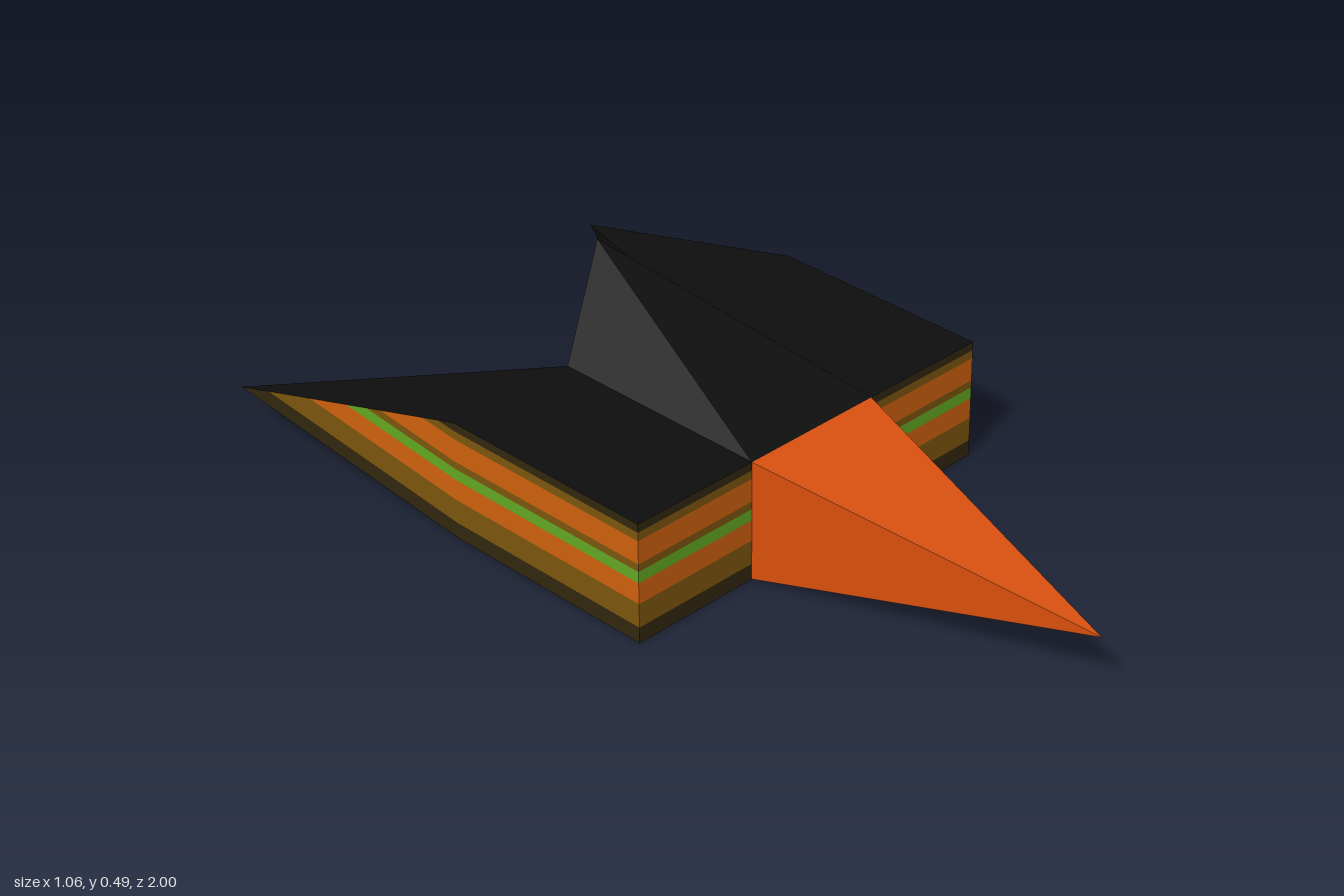
import * as THREE from 'three';

const mat = (name, color) => {
  const m = new THREE.MeshStandardMaterial({ color });
  m.name = name;
  return m;
};

// Main dimensions
const W = 0.5, B = 0.178, H = 0.285, ZF = 0.225, ZB = -0.32;

// Flat convex polygons, each turned to face away from the given centre
function facets(name, material, polygons, centre) {
  const c = new THREE.Vector3(...centre);
  const out = [];
  for (const poly of polygons) {
    const p = poly.map(q => new THREE.Vector3(...q));
    for (let i = 1; i < p.length - 1; i++) {
      let [a, b, d] = [p[0], p[i], p[i + 1]];
      const n = b.clone().sub(a).cross(d.clone().sub(a));
      if (n.dot(a.clone().sub(c)) < 0) [b, d] = [d, b];
      for (const v of [a, b, d]) out.push(v.x, v.y, v.z);
    }
  }
  const g = new THREE.BufferGeometry();
  g.setAttribute('position', new THREE.Float32BufferAttribute(out, 3));
  g.computeVertexNormals();
  const mesh = new THREE.Mesh(g, material);
  mesh.name = name;
  return mesh;
}

// Four sloping sides from a rectangle of corners up to a tip
const pyramid = (corners, tip) => corners.map((p, i) => [p, corners[(i + 1) % 4], tip]);

export function createModel() {
  const black = mat('black', 0x0e0e0e);
  const noseOrange = mat('nose orange', 0xd9500e);
  const orange = mat('stripe orange', 0xcf610d);
  const green = mat('stripe green', 0x62a822);
  const brown = mat('stripe brown', 0x7d560d);
  const dark = mat('stripe dark brown', 0x32270f);
  const red = mat('red', 0xbe1f0e);

  const model = new THREE.Group();
  model.name = 'spacecraft';

  // Hull top and bottom
  const slab = y => [[-W, y, ZF], [W, y, ZF], [W, y, ZB], [-W, y, ZB]];
  model.add(facets('hullPlates', black, [slab(0), slab(H)], [0, H / 2, 0]));

  // Engine panel at the back
  model.add(facets('enginePanel', red,
    [[[-B, 0, ZB], [B, 0, ZB], [B, H, ZB], [-B, H, ZB]]], [0, H / 2, 0]));

  // Pointed nose
  model.add(facets('nose', noseOrange, pyramid(
    [[-B, 0, ZF], [B, 0, ZF], [B, H, ZF], [-B, H, ZF]], [0, 0.145, 1]), [0, 0.14, 0.3]));

  // Swept-back fin on top
  model.add(facets('fin', black, pyramid(
    [[-B, H, ZF], [B, H, ZF], [B, H, ZB], [-B, H, ZB]], [0, 0.488, -0.41]), [0, 0.3, -0.25]));

  // Stripe bands from bottom to top: lower edge, upper edge, colour
  const bands = [
    [0, 0.038, dark], [0.038, 0.095, brown], [0.095, 0.145, orange], [0.145, 0.172, green],
    [0.172, 0.19, brown], [0.19, 0.245, orange], [0.245, 0.265, brown], [0.265, H, dark],
  ];

  for (const s of [-1, 1]) {
    const wing = new THREE.Group();
    wing.name = s > 0 ? 'leftWing' : 'rightWing';
    const tip = [s * 0.528, 0.098, -1];

    // Tail spike: top, bottom and inner faces
    const top = [s * W, H, ZB], inTop = [s * B, H, ZB];
    const bottom = [s * W, 0, ZB], inBottom = [s * B, 0, ZB];
    wing.add(facets('tailSpike', black,
      [[inTop, top, tip], [inBottom, bottom, tip], [inTop, inBottom, tip]],
      [s * 0.38, 0.13, -0.4]));

    // Stripes round the front, the side and the outside of the spike
    const onRidge = y => top.map((v, i) => tip[i] + (v - tip[i]) * y / H);
    for (const [a, b, material] of bands) {
      wing.add(facets('stripe', material, [
        [[s * B, a, ZF], [s * W, a, ZF], [s * W, b, ZF], [s * B, b, ZF]],
        [[s * W, a, ZF], [s * W, a, ZB], [s * W, b, ZB], [s * W, b, ZF]],
        [[s * W, a, ZB], onRidge(a), onRidge(b), [s * W, b, ZB]],
      ], [s * 0.3, H / 2, -0.1]));
    }
    model.add(wing);
  }
  return model;
}
